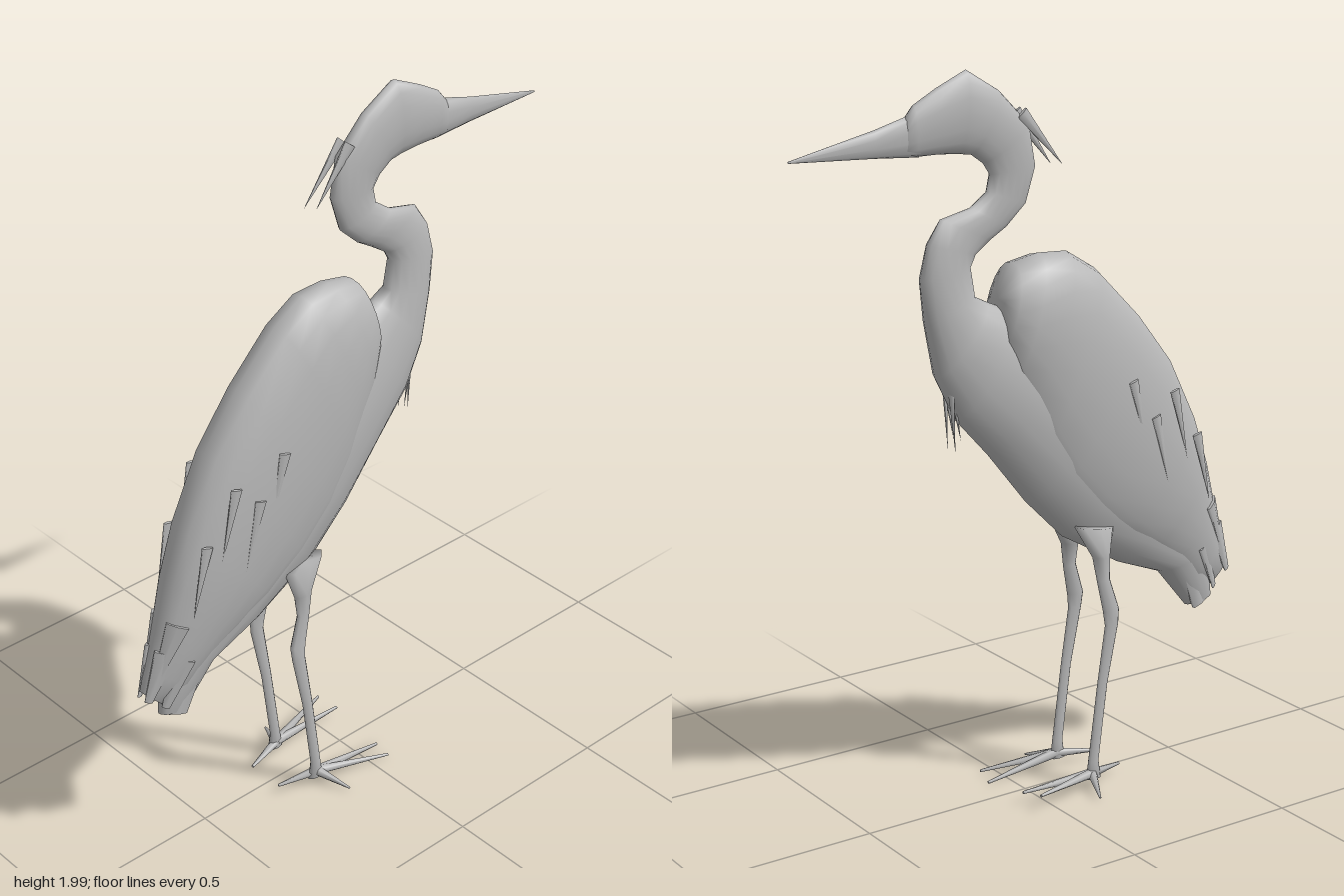
import * as THREE from 'three';

const plumage = new THREE.MeshStandardMaterial({ color: 0xb8b8b8 });
plumage.name = 'grey plumage';

// Skin through rings; each section is [backX, backY, bellyX, bellyY, halfWidth, centreZ = 0].
function loft(name, sections, sides = 16, power = 1) {
  const pos = [], index = [];
  for (const [ax, ay, bx, by, w, cz = 0] of sections) {
    for (let j = 0; j < sides; j++) {
      const t = (j / sides) * Math.PI * 2, c = Math.cos(t) / 2, s = Math.sin(t);
      pos.push((ax + bx) / 2 + c * (ax - bx), (ay + by) / 2 + c * (ay - by),
        cz + Math.sign(s) * Math.abs(s) ** power * w);
    }
  }
  const n = sections.length;
  for (let i = 0; i < n - 1; i++) {
    for (let j = 0; j < sides; j++) {
      const a = i * sides + j, b = i * sides + (j + 1) % sides;
      index.push(a, b, a + sides, b, b + sides, a + sides);
    }
  }
  // End caps
  for (const i of [0, n - 1]) {
    const [ax, ay, bx, by, , cz = 0] = sections[i], centre = pos.length / 3;
    pos.push((ax + bx) / 2, (ay + by) / 2, cz);
    for (let j = 0; j < sides; j++) {
      const a = i * sides + j, b = i * sides + (j + 1) % sides;
      if (i === 0) index.push(centre, b, a);
      else index.push(centre, a, b);
    }
  }
  const geo = new THREE.BufferGeometry();
  geo.setAttribute('position', new THREE.Float32BufferAttribute(pos, 3));
  geo.setIndex(index);
  geo.computeVertexNormals();
  const mesh = new THREE.Mesh(geo, plumage);
  mesh.name = name;
  return mesh;
}

// Tapered spike from one point to another, flattened in z
function spike(name, from, to, radius, flat = 1, tip = 0) {
  const a = new THREE.Vector3(...from), b = new THREE.Vector3(...to);
  const dir = b.clone().sub(a), len = dir.length();
  const geo = new THREE.CylinderGeometry(tip, radius, len, 6);
  geo.scale(1, 1, flat);
  const mesh = new THREE.Mesh(geo, plumage);
  mesh.quaternion.setFromUnitVectors(new THREE.Vector3(0, 1, 0), dir.normalize());
  mesh.position.copy(a).add(b).multiplyScalar(0.5);
  mesh.name = name;
  return mesh;
}

function leg(side) {
  const g = new THREE.Group();
  g.name = side > 0 ? 'leftLeg' : 'rightLeg';
  const z = 0.086 * side;
  g.add(loft('shank', [
    [-0.195, 0.03, -0.145, 0.03, 0.013, z],
    [-0.187, 0.08, -0.152, 0.08, 0.010, z],
    [-0.215, 0.30, -0.180, 0.30, 0.008, z],
    [-0.250, 0.47, -0.205, 0.47, 0.010, z],
    [-0.254, 0.51, -0.200, 0.51, 0.012, z * 0.97],
    [-0.225, 0.60, -0.182, 0.60, 0.011, z * 0.92],
    [-0.228, 0.66, -0.170, 0.67, 0.018, z * 0.85],
    [-0.250, 0.74, -0.120, 0.76, 0.030, z * 0.7],
  ], 8));
  // Three front toes and one hind toe
  const root = [-0.165, 0.045, z];
  g.add(spike('outerToe', root, [0.05, side > 0 ? 0.02 : 0.055, 0.148 * side], 0.014, 1, 0.004));
  g.add(spike('middleToe', root, [0.065, side > 0 ? 0.012 : 0.045, 0.085 * side], 0.014, 1, 0.004));
  g.add(spike('sideToe', root, [-0.125, 0.016, 0.18 * side], 0.015, 1, 0.003));
  g.add(spike('hindToe', root, [-0.28, 0.035, 0.055 * side], 0.013, 1, 0.004));
  return g;
}

export function createModel() {
  const bird = new THREE.Group();
  bird.name = 'wadingBird';

  // Tail, belly, breast, curved neck and head in one skin
  bird.add(loft('bodyNeckAndHead', [
    [-0.64, 0.45, -0.55, 0.435, 0.022],
    [-0.62, 0.60, -0.45, 0.555, 0.045],
    [-0.50, 0.80, -0.31, 0.61, 0.068],
    [-0.40, 1.00, -0.12, 0.72, 0.085],
    [-0.25, 1.15, 0.00, 0.84, 0.090],
    [-0.08, 1.28, 0.12, 0.99, 0.085],
    [0.03, 1.36, 0.22, 1.10, 0.070],
    [0.12, 1.40, 0.28, 1.22, 0.055],
    [0.16, 1.42, 0.31, 1.37, 0.043],
    [0.172, 1.50, 0.322, 1.48, 0.036],
    [0.155, 1.53, 0.30, 1.57, 0.032],
    [0.11, 1.56, 0.26, 1.63, 0.027],
    [0.06, 1.59, 0.17, 1.65, 0.025],
    [0.00, 1.645, 0.12, 1.685, 0.025],
    [-0.03, 1.74, 0.11, 1.73, 0.027],
    [-0.01, 1.85, 0.13, 1.76, 0.031],
    [0.08, 1.94, 0.165, 1.785, 0.034],
    [0.18, 2.00, 0.20, 1.79, 0.033],
    [0.27, 1.96, 0.26, 1.795, 0.029],
    [0.335, 1.925, 0.33, 1.795, 0.021],
    [0.36, 1.895, 0.36, 1.80, 0.017],
  ]));

  // Long pointed bill
  bird.add(loft('bill', [
    [0.33, 1.905, 0.32, 1.793, 0.018],
    [0.45, 1.872, 0.45, 1.802, 0.012],
    [0.69, 1.818, 0.69, 1.813, 0.002],
  ], 10));

  // Folded wings wrapped over the back
  bird.add(loft('foldedWings', [
    [-0.695, 0.55, -0.63, 0.48, 0.018],
    [-0.67, 0.61, -0.54, 0.51, 0.042],
    [-0.64, 0.71, -0.46, 0.58, 0.060],
    [-0.60, 0.86, -0.38, 0.62, 0.080],
    [-0.55, 1.00, -0.28, 0.67, 0.095],
    [-0.46, 1.18, -0.16, 0.74, 0.105],
    [-0.35, 1.32, -0.06, 0.84, 0.109],
    [-0.22, 1.45, 0.00, 0.95, 0.108],
    [-0.13, 1.505, 0.04, 1.06, 0.102],
    [-0.04, 1.51, 0.08, 1.16, 0.092],
    [0.04, 1.495, 0.10, 1.26, 0.075],
    [0.08, 1.43, 0.09, 1.38, 0.035],
  ], 20, 0.85));

  for (const side of [1, -1]) {
    bird.add(leg(side));
    // Crest plumes behind the head
    bird.add(spike('crestPlume', [0.02, 1.88, 0.015 * side], [-0.10 + 0.01 * side, 1.735, 0.012 * side], 0.02, 0.3));
    // Loose wing feathers
    for (const [x, y, z] of [[-0.28, 1.15, 0.104], [-0.36, 1.04, 0.1], [-0.43, 1.10, 0.09], [-0.52, 0.96, 0.078]]) {
      bird.add(spike('wingFeather', [x, y, z * side], [x - 0.05, y - 0.2, z * side * 0.96], 0.018, 0.3));
    }
    // Ragged flight feather tips
    for (const [x, y, z] of [[-0.60, 0.74, 0.045], [-0.63, 0.66, 0.03], [-0.58, 0.62, 0.04]]) {
      bird.add(spike('flightFeather', [x, y, z * side], [x - 0.055, y - 0.14, z * side * 0.6], 0.035, 0.3, 0.012));
    }
  }

  // Breast plumes
  for (let i = 0; i < 5; i++) {
    const z = (i - 2) * 0.01;
    bird.add(spike('breastPlume', [0.245 - 0.008 * (i % 3), 1.2, z],
      [0.235 - 0.025 * (i % 3), 1.02 + 0.025 * (i % 3), z * 1.2], 0.01, 0.5));
  }

  // Squared tail feathers
  for (const z of [-0.02, 0, 0.02]) {
    bird.add(spike('tailFeather', [-0.55, 0.56, z], [-0.61 + Math.abs(z), 0.435, z * 0.8], 0.045, 0.3, 0.03));
  }
  return bird;
}
